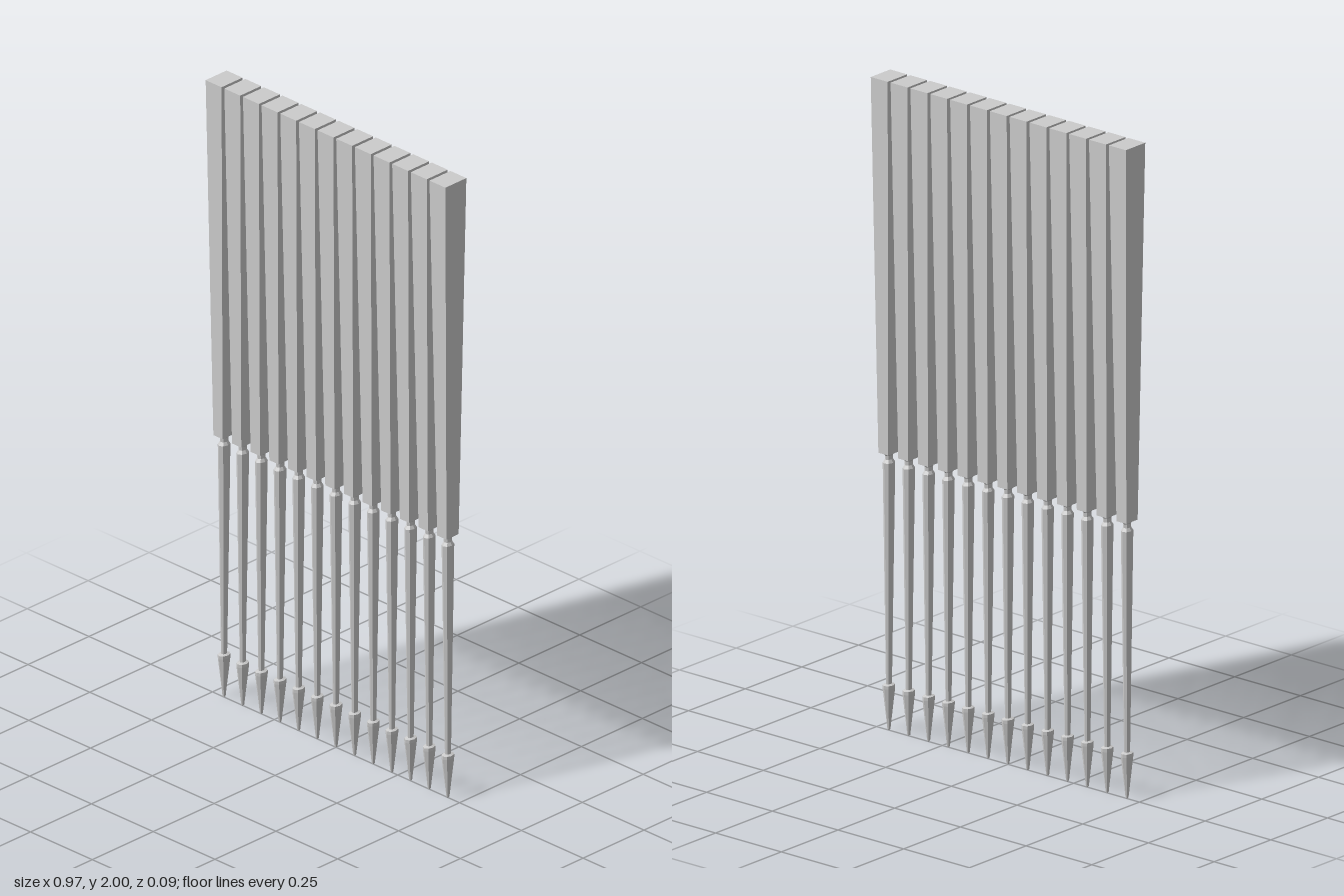
import * as THREE from 'three';

const COUNT = 13, SPACING = 0.0755, SQUASH = 0.75;

export function createModel() {
  const model = new THREE.Group();
  model.name = 'stakeRow';
  const material = new THREE.MeshStandardMaterial({ color: 0xcccccc, flatShading: true });

  // Tapered segment between two heights; radii are half depths
  const segment = (rTop, rBottom, y0, y1, sides) => {
    const k = sides === 4 ? Math.SQRT2 : 1;
    const g = new THREE.CylinderGeometry(rTop * k, rBottom * k, y1 - y0, sides);
    if (sides === 4) g.rotateY(Math.PI / 4);
    g.scale(SQUASH, 1, 1);
    g.translate(0, (y0 + y1) / 2, 0);
    return g;
  };

  // Turned profile from the tip up to the underside of the square block
  const turned = (points) => {
    const g = new THREE.LatheGeometry(points.map(([r, y]) => new THREE.Vector2(r, y)), 8);
    g.scale(SQUASH, 1, 1);
    return g;
  };

  const parts = {
    squareBlock: segment(0.043, 0.025, 0.85, 2, 4),
    neck: turned([[0, 0.818], [0.021, 0.82], [0.014, 0.83], [0.014, 0.842], [0.023, 0.85], [0, 0.851]]),
    shaft: segment(0.021, 0.01, 0.13, 0.82, 8),
    pointedHead: turned([[0, 0], [0.005, 0.003], [0.021, 0.13], [0.021, 0.14], [0.01, 0.143], [0, 0.143]]),
  };

  // Identical stakes side by side
  for (let i = 0; i < COUNT; i++) {
    const stake = new THREE.Group();
    stake.name = `stake${i + 1}`;
    for (const [name, geometry] of Object.entries(parts)) {
      const mesh = new THREE.Mesh(geometry, material);
      mesh.name = name;
      stake.add(mesh);
    }
    stake.position.x = (i - (COUNT - 1) / 2) * SPACING;
    model.add(stake);
  }
  return model;
}
